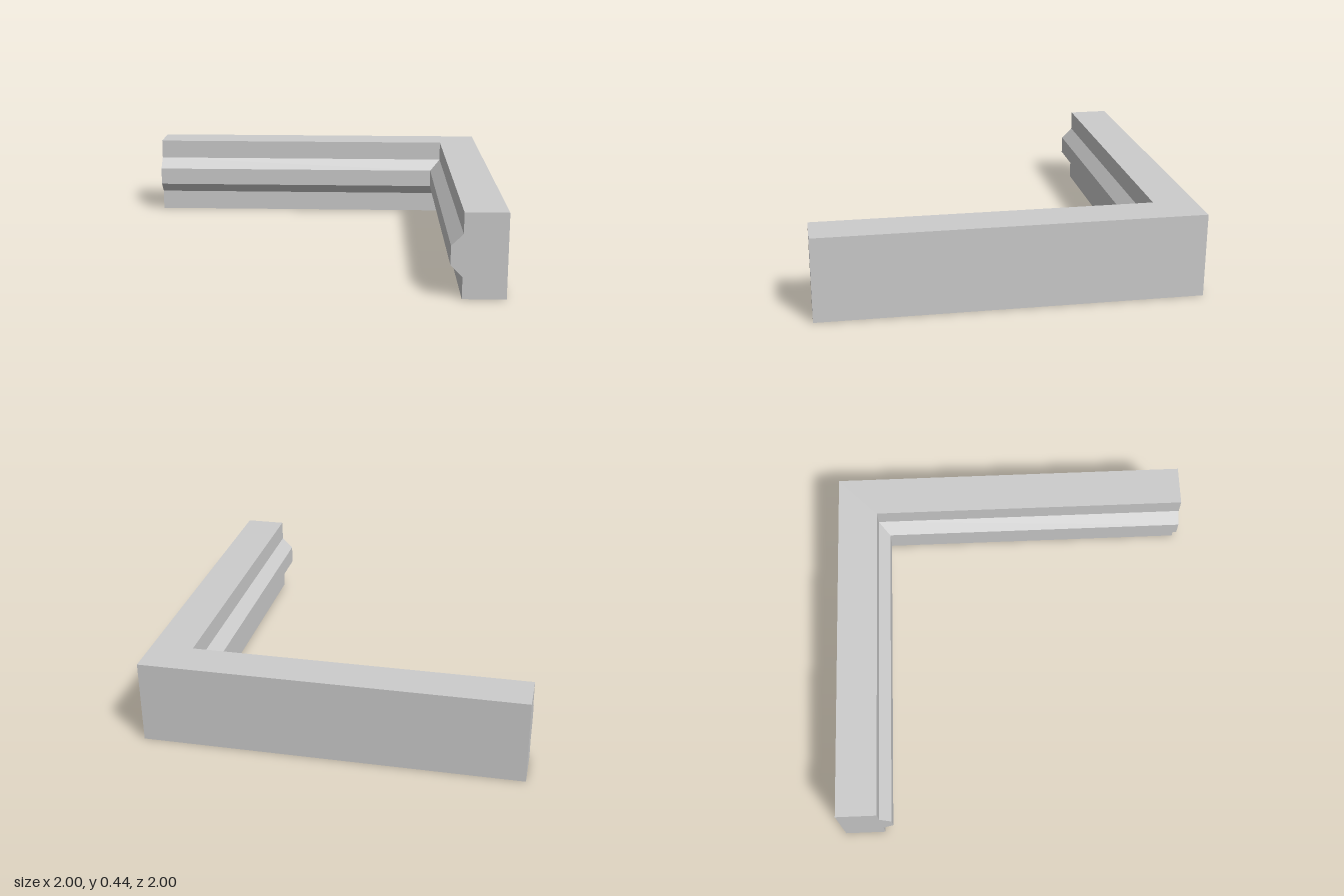
import * as THREE from 'three';

// Moulding cross-section: [depth inward from the outer wall, height], counter-clockwise
const PROFILE = [
  [0, 0], [0.222, 0], [0.222, 0.115], [0.283, 0.175],
  [0.283, 0.275], [0.222, 0.335], [0.222, 0.445], [0, 0.445],
].map(([d, y]) => new THREE.Vector2(d, y));

// Where a profile point lies at the front end, the mitred corner and the side end
const STATIONS = [
  (p) => [1 - p.x, p.y, 1],
  (p) => [1 - p.x, p.y, -1 + p.x],
  (p) => [-1, p.y, -1 + p.x],
];

function mitredMoulding() {
  const positions = [];
  const triangle = (...corners) => corners.forEach((c) => positions.push(...c));

  // Long faces of both arms, meeting at the mitre
  for (let s = 0; s < STATIONS.length - 1; s++) {
    const from = STATIONS[s], to = STATIONS[s + 1];
    PROFILE.forEach((p, i) => {
      const q = PROFILE[(i + 1) % PROFILE.length];
      triangle(from(p), from(q), to(q));
      triangle(from(p), to(q), to(p));
    });
  }

  // Cut ends
  for (const [a, b, c] of THREE.ShapeUtils.triangulateShape(PROFILE, [])) {
    triangle(...[a, c, b].map((i) => STATIONS[0](PROFILE[i])));
    triangle(...[a, b, c].map((i) => STATIONS[2](PROFILE[i])));
  }

  const geometry = new THREE.BufferGeometry();
  geometry.setAttribute('position', new THREE.Float32BufferAttribute(positions, 3));
  geometry.computeVertexNormals(); // unshared corners keep every edge sharp
  return geometry;
}

export function createModel() {
  const group = new THREE.Group();
  group.name = 'cornerMoulding';

  const grey = new THREE.MeshStandardMaterial({ color: 0xcccccc });
  grey.name = 'light grey';

  const moulding = new THREE.Mesh(mitredMoulding(), grey);
  moulding.name = 'mitredMoulding';
  group.add(moulding);
  return group;
}
